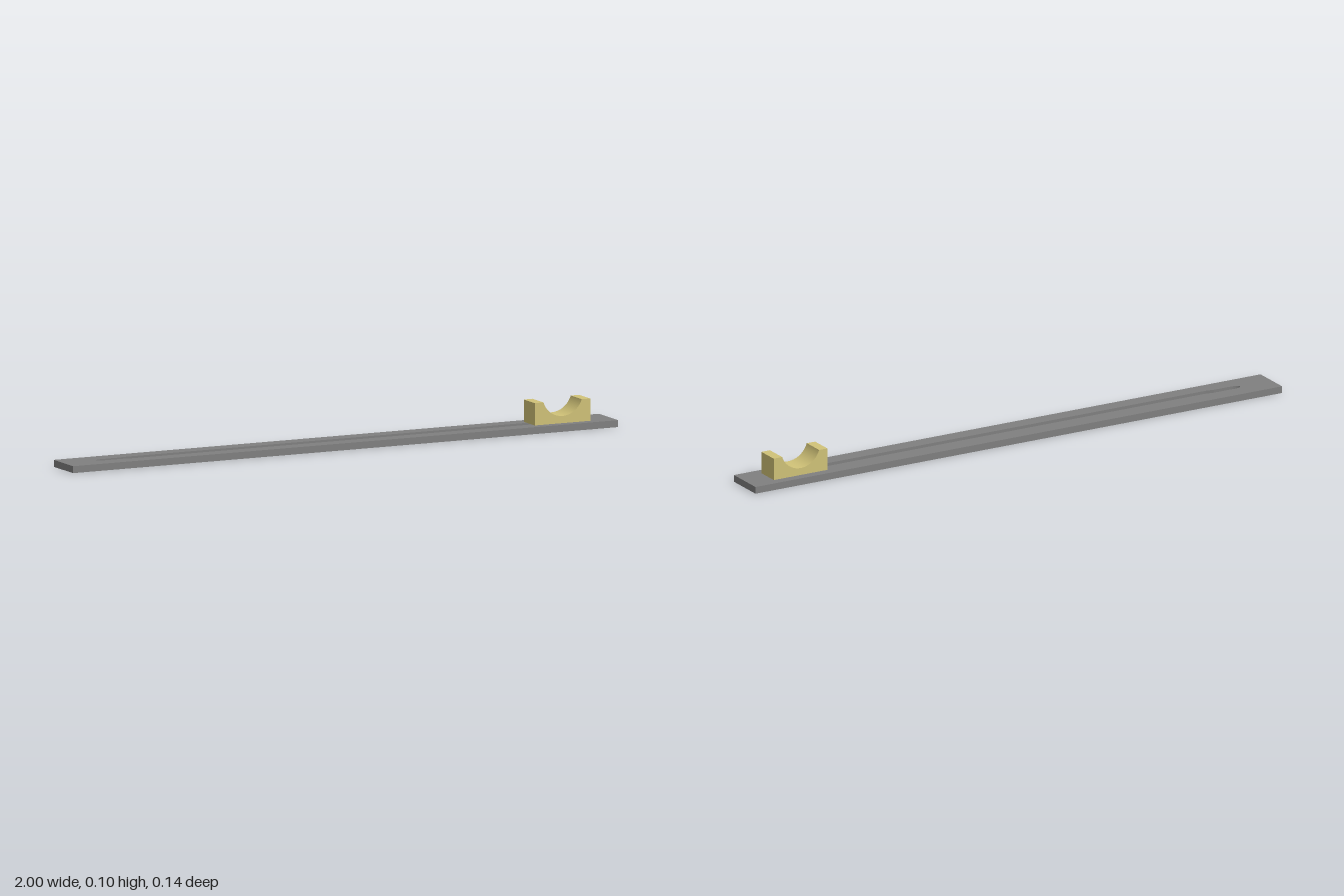
import * as THREE from 'three';

const LENGTH = 2, WIDTH = 0.14, THICK = 0.023, GROOVE = 0.01;

function part(name, geometry, material) {
  const mesh = new THREE.Mesh(geometry, material);
  mesh.name = name;
  return mesh;
}

// Outline of the long groove: narrow rounded tip that steps out to full width
function grooveOutline() {
  const tip = 0.013, half = 0.018, end = 0.84;
  const path = new THREE.Path();
  path.moveTo(end, half);
  path.lineTo(-0.76, half);
  path.lineTo(-0.79, tip);
  path.lineTo(-0.85, tip);
  path.absellipse(-0.85, 0, 0.03, tip, Math.PI / 2, Math.PI * 1.5, false);
  path.lineTo(-0.79, -tip);
  path.lineTo(-0.76, -half);
  path.lineTo(end, -half);
  path.closePath();
  return path;
}

export function createModel() {
  const group = new THREE.Group();
  const grey = new THREE.MeshStandardMaterial({ color: 0x808080 });
  const tan = new THREE.MeshStandardMaterial({ color: 0xd1c378 });

  // Solid lower layer, whose top is the groove floor
  const floorHeight = THICK - GROOVE;
  const lower = part('baseFloor', new THREE.BoxGeometry(LENGTH, floorHeight, WIDTH), grey);
  lower.position.y = floorHeight / 2;

  // Upper layer with the groove cut through it
  const plate = new THREE.Shape([
    new THREE.Vector2(-LENGTH / 2, -WIDTH / 2),
    new THREE.Vector2(LENGTH / 2, -WIDTH / 2),
    new THREE.Vector2(LENGTH / 2, WIDTH / 2),
    new THREE.Vector2(-LENGTH / 2, WIDTH / 2),
  ]);
  plate.holes.push(grooveOutline());
  const plateGeometry = new THREE.ExtrudeGeometry(plate, { depth: GROOVE, bevelEnabled: false, curveSegments: 16 });
  plateGeometry.rotateX(-Math.PI / 2);
  const upper = part('groovedPlate', plateGeometry, grey);
  upper.position.y = floorHeight;

  const base = new THREE.Group();
  base.name = 'base';
  base.add(lower, upper);

  // Cradle block with a circular saddle
  const half = 0.102, top = 0.074, radius = 0.074, chord = 0.071, depth = 0.05;
  const centreY = top - depth + radius;
  const angle = Math.atan2(top - centreY, chord);
  const profile = new THREE.Shape();
  profile.moveTo(-half, 0);
  profile.lineTo(half, 0);
  profile.lineTo(half, top);
  profile.absarc(0, centreY, radius, angle, -Math.PI - angle, true);
  profile.lineTo(-half, top);
  profile.closePath();
  const cradleGeometry = new THREE.ExtrudeGeometry(profile, { depth: 0.08, bevelEnabled: false, curveSegments: 40 });
  const cradle = part('cradleBlock', cradleGeometry, tan);
  cradle.position.set(0.811, THICK, -0.04);

  group.add(base, cradle);
  return group;
}
